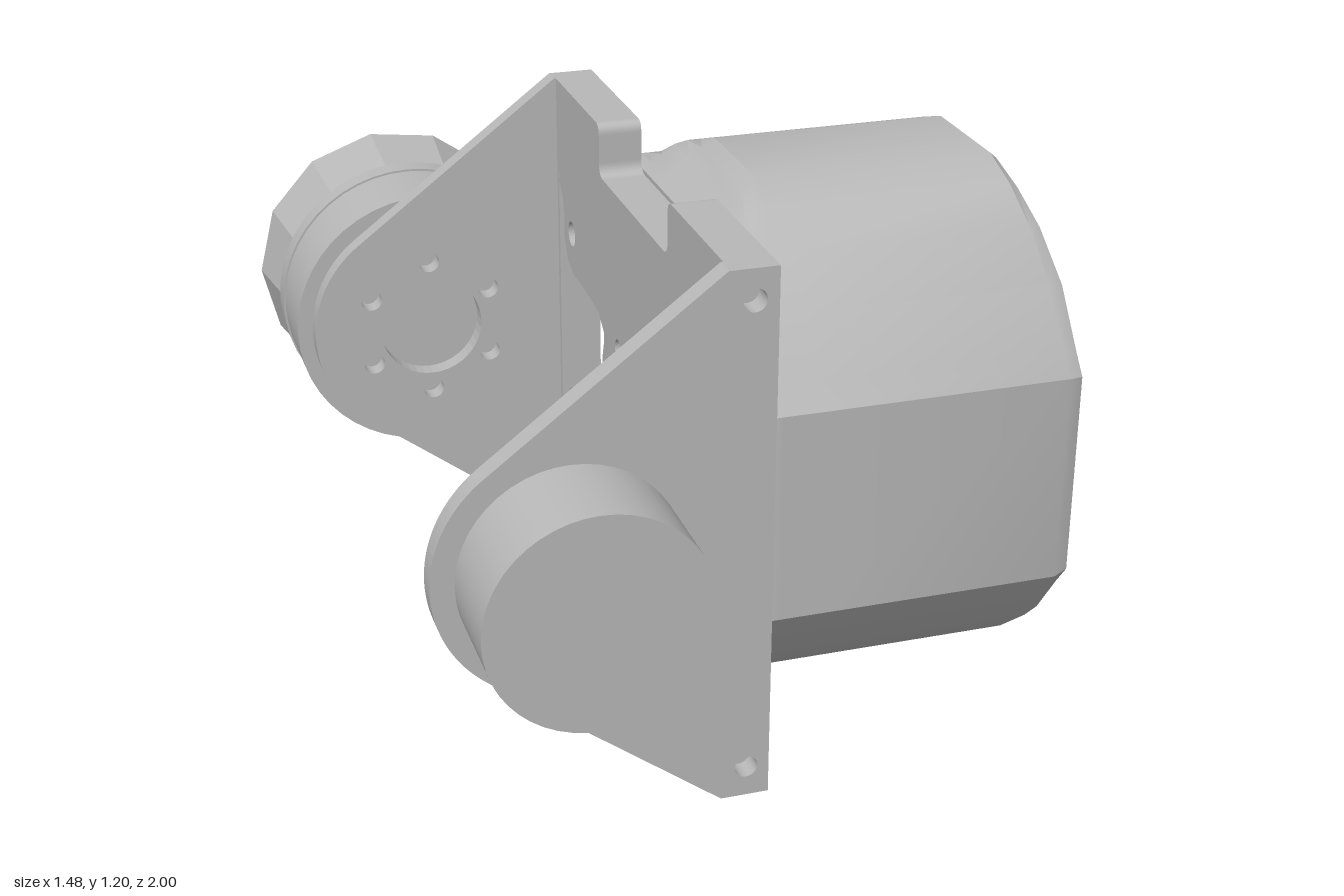
import * as THREE from 'three';
import { toCreasedNormals } from 'three/addons/utils/BufferGeometryUtils.js';

const grey = new THREE.MeshStandardMaterial({ color: 0xb8b8b8 });
grey.name = 'metal grey';

const AX = -0.4, AY = 0.6; // pivot axis of the yoke
const MZ = 0.115; // z of the drum axis

function add(parent, name, geometry) {
  const mesh = new THREE.Mesh(geometry, grey);
  mesh.name = name;
  parent.add(mesh);
  return mesh;
}

function circleHole(shape, x, y, r) {
  shape.holes.push(new THREE.Path().absarc(x, y, r, 0, Math.PI * 2, true));
}

function extrude(shape, depth) {
  return new THREE.ExtrudeGeometry(shape, { depth, bevelEnabled: false, curveSegments: 20 });
}

// Cylinder along z between two depths
function discZ(r0, r1, z0, z1, sides, turn = 0) {
  const g = new THREE.CylinderGeometry(r1, r0, z1 - z0, sides, 1, false, turn);
  return g.rotateX(Math.PI / 2).translate(AX, AY, (z0 + z1) / 2);
}

// Triangular side bracket with rounded nose
function bracketGeometry(depth) {
  const r = 0.285, tilt = Math.PI / 2 + 0.655;
  const s = new THREE.Shape();
  s.moveTo(0.025, 0);
  s.lineTo(0.025, 1.2);
  s.lineTo(-0.08, 1.2);
  s.absarc(AX, AY, r, tilt, Math.PI * 2 - tilt, false);
  s.lineTo(-0.08, 0);
  s.closePath();
  circleHole(s, AX, AY, 0.125);
  for (let i = 0; i < 6; i++) {
    const a = Math.PI / 2 + i * Math.PI / 3;
    circleHole(s, AX + 0.167 * Math.cos(a), AY + 0.167 * Math.sin(a), 0.025);
  }
  for (const y of [0.07, 1.133]) circleHole(s, -0.025, y, 0.025);
  return extrude(s, depth);
}

// Base plate drawn in (z, y), with top notch, side openings and hub holes
function plateGeometry() {
  const s = new THREE.Shape();
  s.moveTo(-0.51, 0);
  s.lineTo(0.73, 0);
  s.lineTo(0.73, 1.2);
  s.lineTo(0.4, 1.2);
  s.quadraticCurveTo(0.375, 1.2, 0.375, 1.175);
  s.lineTo(0.375, 1.11);
  s.quadraticCurveTo(0.375, 1.08, 0.345, 1.08);
  s.lineTo(-0.11, 1.08);
  s.quadraticCurveTo(-0.14, 1.08, -0.14, 1.11);
  s.lineTo(-0.14, 1.175);
  s.quadraticCurveTo(-0.14, 1.2, -0.165, 1.2);
  s.lineTo(-0.51, 1.2);
  s.closePath();
  // Openings between hub and brackets, curving round the screw bosses
  const half = [[0.609, 0.37], [0.605, 0.345], [0.575, 0.31], [0.565, 0.27], [0.568, 0.22],
    [0.54, 0.17], [0.49, 0.15], [0.4, 0.15], [0.27, 0.14], [0.22, 0.1], [0.24, 0.04]];
  for (const side of [1, -1]) {
    const pts = [...half, ...half.slice().reverse().map(([a, b]) => [a, -b])];
    s.holes.push(new THREE.Path(pts.map(([a, b]) => new THREE.Vector2(MZ + side * a, AY + b))));
    for (const d of [0.25, -0.25]) circleHole(s, MZ + side * 0.5, AY + d, 0.03);
  }
  circleHole(s, MZ, AY, 0.1);
  for (let i = 0; i < 4; i++) {
    const a = Math.PI / 4 + i * Math.PI / 2;
    circleHole(s, MZ + 0.155 * Math.cos(a), AY + 0.155 * Math.sin(a), 0.025);
  }
  return extrude(s, 0.1).rotateY(-Math.PI / 2).translate(0.025, 0, 0);
}

// Flat-sided drum along x, lofted through cross-sections
function drumGeometry() {
  const q = [[0.135, 0.585], [0.24, 0.55], [0.345, 0.492], [0.46, 0.4], [0.545, 0.285], [0.585, 0.235]];
  const back = q.slice().reverse();
  const ring = [...q, ...back.map(([z, y]) => [z, -y]),
    ...q.map(([z, y]) => [-z, -y]), ...back.map(([z, y]) => [-z, y])];
  const n = ring.length, pos = [], index = [];
  const stations = [[0.025, 0.985], [0.045, 1], [0.07, 1], [0.1, 1], [0.13, 1], [0.16, 1], [0.705, 1], [0.74, 0.975]];
  stations.forEach(([x, k], i) => {
    for (const [dz, dy] of ring) {
      // Sloping cut at the top beside the plate, slight fall-off on the far end
      const y = Math.min(AY + dy * k, 1.09 + (x - 0.025) * 0.72);
      const drop = i === stations.length - 1 ? Math.max(0, y - 1.05) * 0.15 : 0;
      pos.push(x - drop, y, MZ + dz * k);
    }
  });
  const last = (stations.length - 1) * n, c0 = last + n, c1 = c0 + 1;
  pos.push(0.025, AY, MZ, 0.74, AY, MZ);
  for (let j = 0; j < n; j++) {
    const k = (j + 1) % n;
    for (let i = 0; i < last; i += n) index.push(i + j, i + k, i + n + j, i + k, i + n + k, i + n + j);
    index.push(c0, k, j, c1, last + j, last + k);
  }
  const g = new THREE.BufferGeometry();
  g.setAttribute('position', new THREE.Float32BufferAttribute(pos, 3));
  g.setIndex(index);
  return toCreasedNormals(g, 0.5);
}

export function createModel() {
  const model = new THREE.Group();
  model.name = 'motorYoke';

  add(model, 'basePlate', plateGeometry());
  add(model, 'frontBracket', bracketGeometry(0.05)).position.z = 0.73;
  add(model, 'rearBracket', bracketGeometry(0.045)).position.z = -0.555;

  add(model, 'motorDrum', drumGeometry());
  add(model, 'frontHub', discZ(0.235, 0.235, 0.78, 1, 48));

  // Rear housing: body, rim and faceted cap
  const rear = new THREE.Group();
  rear.name = 'rearHousing';
  model.add(rear);
  add(rear, 'housingBody', discZ(0.321, 0.321, -0.75, -0.555, 48));
  add(rear, 'housingRim', discZ(0.326, 0.326, -0.797, -0.745, 48));
  add(rear, 'facetedCap', toCreasedNormals(discZ(0.343, 0.312, -1, -0.79, 13, -Math.PI / 2), 0.3));

  return model;
}
